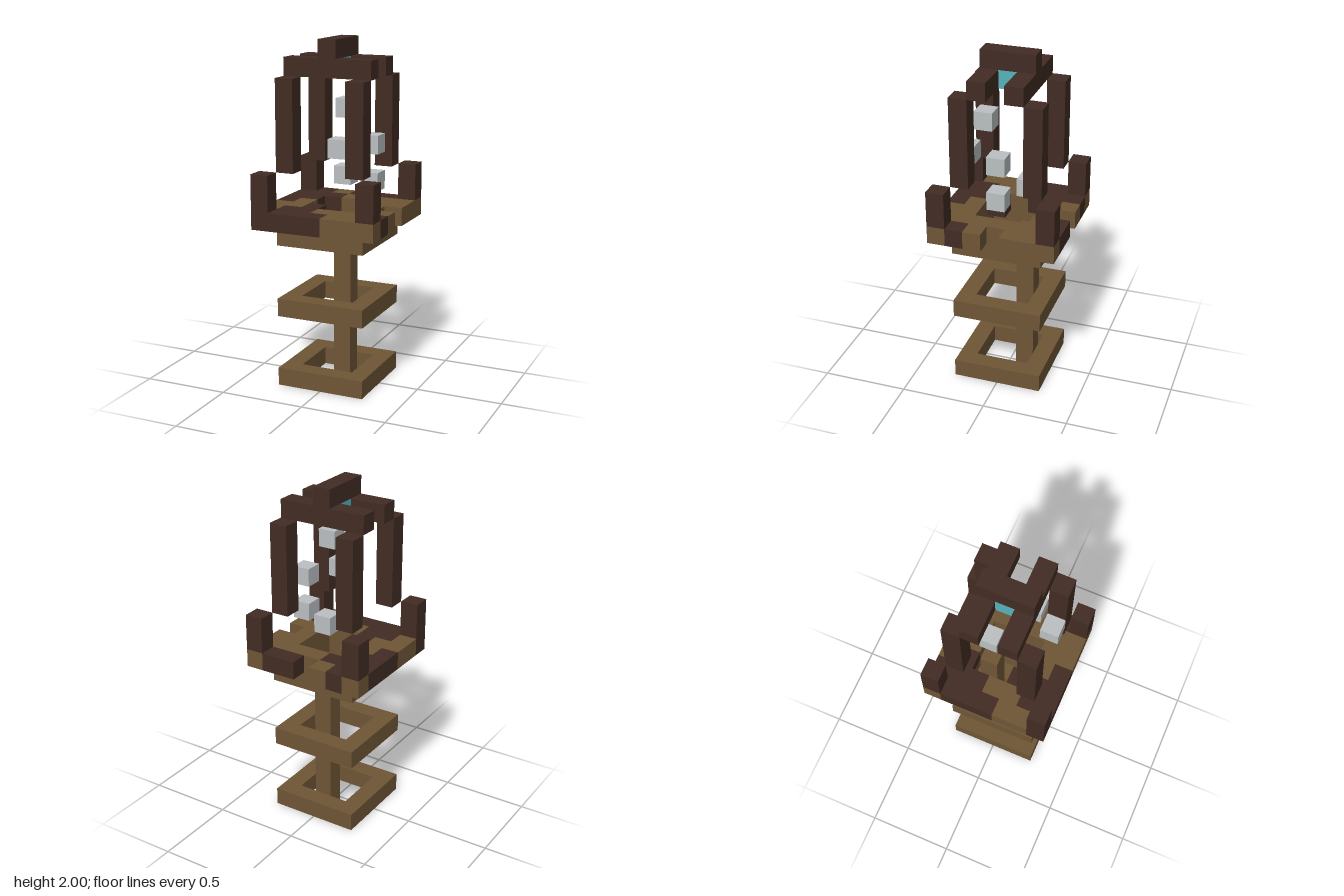
import * as THREE from 'three';

const U = 2 / 19; // size of one block

export function createModel() {
  const model = new THREE.Group();
  model.name = 'blockTower';
  const mat = (name, color) => {
    const m = new THREE.MeshStandardMaterial({ color });
    m.name = name;
    return m;
  };
  const dark = mat('darkWood', 0x422c24);
  const brown = mat('brownWood', 0x6f5636);
  const grey = mat('paleStone', 0xbbc0c2);
  const teal = mat('tealGem', 0x58b2bc);

  // Box filling an inclusive range of block cells
  function block(name, material, [x0, y0, z0], [x1, y1, z1] = [x0, y0, z0]) {
    const mesh = new THREE.Mesh(
      new THREE.BoxGeometry((x1 - x0 + 1) * U, (y1 - y0 + 1) * U, (z1 - z0 + 1) * U), material);
    mesh.position.set((x0 + x1) / 2 * U, ((y0 + y1) / 2 + 0.5) * U, (z0 + z1) / 2 * U);
    mesh.name = name;
    model.add(mesh);
  }

  // Three square rings joined by a post
  for (const y of [0, 4, 8]) {
    for (const s of [-2, 2]) {
      block('ringBeam', brown, [-2, y, s], [2, y, s]);
      block('ringSide', brown, [s, y, -1], [s, y, 1]);
    }
  }
  block('post', brown, [0, 0, -1], [0, 8, -1]);

  // Patchy platform, rows from back to front: d dark, b brown, . open
  const rows = [
    'bdb.ddb',
    'dddbbbb',
    'dd...bb',
    'db...b.',
    'bbd..bb',
    'bddbbbd',
    'ddddbbb',
  ];
  rows.forEach((row, k) => {
    for (const run of row.matchAll(/d+|b+/g)) {
      const x = run.index - 3;
      block('platform', run[0][0] === 'd' ? dark : brown,
        [x, 9, k - 3], [x + run[0].length - 1, 9, k - 3]);
    }
  });

  // Corner posts and the taller pillars set in from them
  for (const sx of [-1, 1]) {
    for (const sz of [-1, 1]) {
      block('cornerPost', dark, [3 * sx, 10, 3 * sz], [3 * sx, 11, 3 * sz]);
      block('pillar', dark, [2 * sx, 12, 2 * sz], [2 * sx, 16, 2 * sz]);
    }
  }

  // Roof beams, ridge and the gem between them
  for (const z of [-1, 1]) block('roofBeam', dark, [-2, 17, z], [2, 17, z]);
  block('ridge', dark, [0, 18, -1], [0, 18, 1]);
  block('gem', teal, [0, 17, 0]);

  // Floating stones
  for (const p of [[0, 11, -1], [2, 11, 0], [2, 13, 0], [1, 13, 2], [1, 15, 1]]) {
    block('floatingStone', grey, p);
  }
  return model;
}
